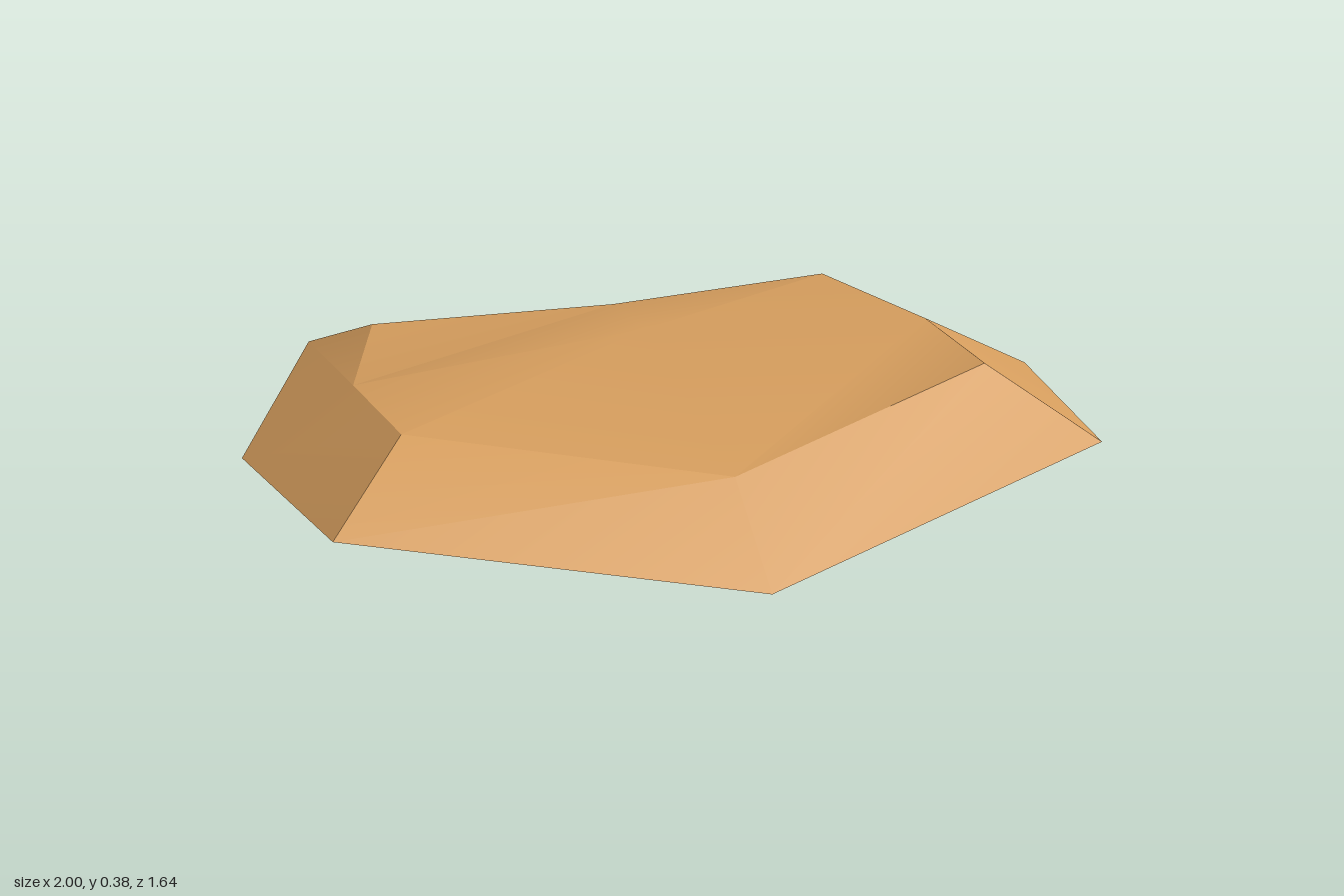
import * as THREE from 'three';
import { toCreasedNormals } from 'three/addons/utils/BufferGeometryUtils.js';

// Right-hand half of each ring, front to back; the inner x = 0 points are shared.
const RIM = [[0, 0.15, 0.82], [0.905, 0.255, 0.51], [1, 0.15, -0.18], [0.725, 0.15, -0.82], [0, 0.15, -0.69]];
const INNER = [[0, 0.545], [0.7, 0.275], [0.725, -0.18], [0.597, -0.598], [0, -0.485]];
const TOP_Y = [0.305, 0.38, 0.305, 0.275, 0.305];
const BOTTOM_Y = [0.065, 0.19, 0.065, 0.085, 0.065];

// Eight points, counter-clockwise from above, starting at the front
function mirrorRing(half) {
  const left = half.slice(1, 4).reverse().map(([x, y, z]) => [-x, y, z]);
  return [...half, ...left];
}

// One half of the slab: a sloped band around the rim and a four-quad plate
function shell(heights, centreY, flip) {
  const inner = INNER.map(([x, z], i) => [x, heights[i], z]);
  const points = [...mirrorRing(RIM), ...mirrorRing(inner), [0, centreY, -0.18]];
  const C = 16;
  const quads = [[15, 8, C, 14], [8, 9, 10, C], [C, 10, 11, 12], [14, C, 12, 13]];
  for (let i = 0; i < 8; i++) {
    const j = (i + 1) % 8;
    quads.push([i, j, 8 + j, 8 + i]);
  }
  const index = [];
  for (const [a, b, c, d] of quads) {
    index.push(...(flip ? [a, c, b, a, d, c] : [a, b, c, a, c, d]));
  }
  const geometry = new THREE.BufferGeometry();
  geometry.setAttribute('position', new THREE.Float32BufferAttribute(points.flat(), 3));
  geometry.setIndex(index);
  return toCreasedNormals(geometry, 0.42);
}

export function createModel() {
  const tan = new THREE.MeshStandardMaterial({ color: 0xd9a05f });
  tan.name = 'tan';

  const model = new THREE.Group();
  model.name = 'facetedSlab';

  const upper = new THREE.Mesh(shell(TOP_Y, 0.365, false), tan);
  upper.name = 'upperShell';
  const lower = new THREE.Mesh(shell(BOTTOM_Y, 0, true), tan);
  lower.name = 'lowerShell';

  model.add(upper, lower);
  return model;
}
